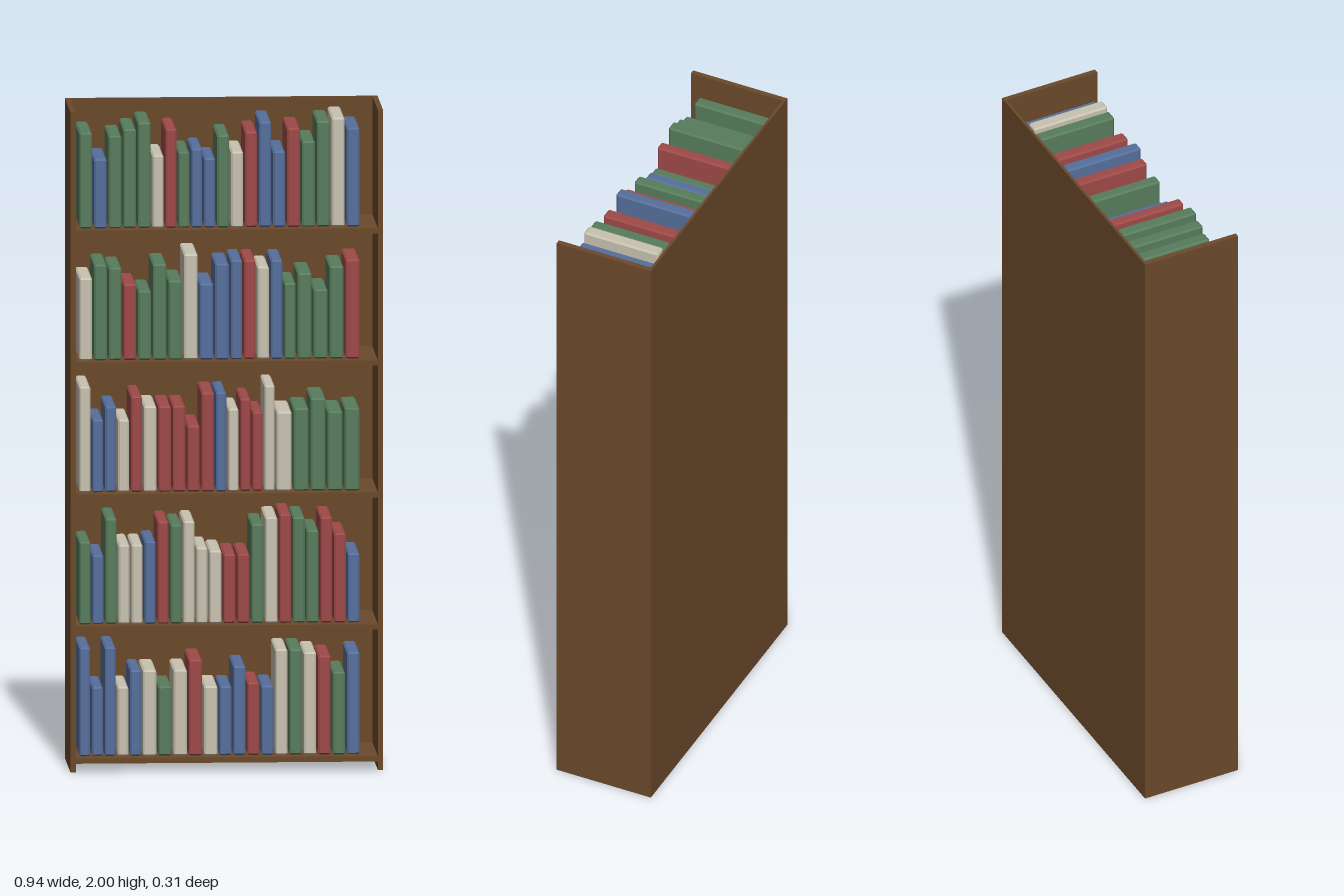
import * as THREE from 'three';
import { ConvexGeometry } from 'three/addons/geometries/ConvexGeometry.js';

const makeMaterial = (name, color) => {
  const m = new THREE.MeshStandardMaterial({ color });
  m.name = name;
  return m;
};

// Box with a single flat chamfer on every edge
function chamferedBox(w, h, d, c) {
  const x = w / 2, y = h / 2, z = d / 2, points = [];
  for (const sx of [-1, 1]) for (const sy of [-1, 1]) for (const sz of [-1, 1]) {
    points.push(
      new THREE.Vector3(sx * x, sy * (y - c), sz * (z - c)),
      new THREE.Vector3(sx * (x - c), sy * y, sz * (z - c)),
      new THREE.Vector3(sx * (x - c), sy * (y - c), sz * z));
  }
  return new ConvexGeometry(points);
}

// Rows from the bottom up: cover colours, left edge of every fifth book, and book heights
const ROW_START = -0.441, ROW_END = 0.407, GAP = 0.006;
const ROWS = [
  { colours: 'BBBWBWGWRWBBRBWGWRGB', marks: [-0.25, -0.02, 0.19],
    heights: [0.33, 0.21, 0.33, 0.21, 0.26, 0.26, 0.21, 0.26, 0.29, 0.21, 0.21, 0.27, 0.22, 0.21, 0.32, 0.32, 0.31, 0.3, 0.25, 0.31] },
  { colours: 'GBGWWBRGWWWRRGWRGGRRB', marks: [-0.245, -0.05, 0.16],
    heights: [0.25, 0.21, 0.32, 0.24, 0.24, 0.25, 0.31, 0.3, 0.31, 0.23, 0.22, 0.21, 0.21, 0.3, 0.32, 0.33, 0.32, 0.28, 0.32, 0.27, 0.21] },
  { colours: 'WBBWRWRRRRBWRRWWGGGG', marks: [-0.247, -0.03, 0.152],
    heights: [0.32, 0.22, 0.26, 0.22, 0.29, 0.26, 0.26, 0.26, 0.2, 0.3, 0.3, 0.25, 0.28, 0.24, 0.32, 0.24, 0.25, 0.28, 0.24, 0.25] },
  { colours: 'WGGRGGGWBBBRWBGGGGR', marks: [-0.22, 0.014, 0.215],
    heights: [0.25, 0.29, 0.28, 0.23, 0.21, 0.29, 0.24, 0.32, 0.23, 0.29, 0.3, 0.3, 0.28, 0.3, 0.23, 0.26, 0.21, 0.28, 0.3] },
  { colours: 'GBGGGWRGBBGWRBBRGGWB', marks: [-0.221, -0.027, 0.183],
    heights: [0.29, 0.21, 0.28, 0.3, 0.32, 0.22, 0.3, 0.23, 0.24, 0.21, 0.28, 0.23, 0.29, 0.32, 0.23, 0.3, 0.26, 0.32, 0.33, 0.3] },
];

// Left edge of book k: books are evenly spaced between neighbouring marks
function bookEdge(k, marks, count) {
  const stops = [ROW_START, ...marks, ROW_END];
  const i = Math.min(Math.floor(k / 5), marks.length);
  const inGroup = i === marks.length ? count - 5 * i : 5;
  return THREE.MathUtils.lerp(stops[i], stops[i + 1], (k - 5 * i) / inGroup);
}

export function createModel() {
  const model = new THREE.Group();
  model.name = 'bookcase';
  const wood = makeMaterial('brown wood', 0x6b4a2b);
  const covers = {
    G: makeMaterial('green cover', 0x587d5c),
    B: makeMaterial('blue cover', 0x566f9c),
    R: makeMaterial('red cover', 0x9e4a48),
    W: makeMaterial('cream cover', 0xc8c2b0),
  };

  const W = 0.94, H = 2, D = 0.314, T = 0.016, BACK = 0.008;
  const board = (name, w, h, d, x, y, z) => {
    const mesh = new THREE.Mesh(new THREE.BoxGeometry(w, h, d), wood);
    mesh.name = name;
    mesh.position.set(x, y, z);
    model.add(mesh);
  };

  // Carcass: full-width back and two sides, open at the top
  board('backPanel', W, H, BACK, 0, H / 2, -D / 2 + BACK / 2);
  for (const [name, s] of [['leftSide', 1], ['rightSide', -1]]) {
    board(name, T, H, D - BACK, s * (W - T) / 2, H / 2, BACK / 2);
  }

  // Shelves, each with its row of books
  const bookFront = 0.122, bookBack = -0.125;
  ROWS.forEach(({ colours, marks, heights }, i) => {
    const top = 0.042 + 0.4 * i;
    board('shelf' + (i + 1), W - 2 * T, T, D - BACK, 0, top - T / 2, BACK / 2);

    const row = new THREE.Group();
    row.name = 'bookRow' + (i + 1);
    heights.forEach((h, k) => {
      const x0 = bookEdge(k, marks, heights.length);
      const x1 = bookEdge(k + 1, marks, heights.length) - GAP;
      const geometry = chamferedBox(x1 - x0, h, bookFront - bookBack, 0.005);
      const book = new THREE.Mesh(geometry, covers[colours[k]]);
      book.name = 'book' + (k + 1);
      book.position.set((x0 + x1) / 2, top + 0.001 + h / 2, (bookFront + bookBack) / 2);
      row.add(book);
    });
    model.add(row);
  });

  return model;
}
